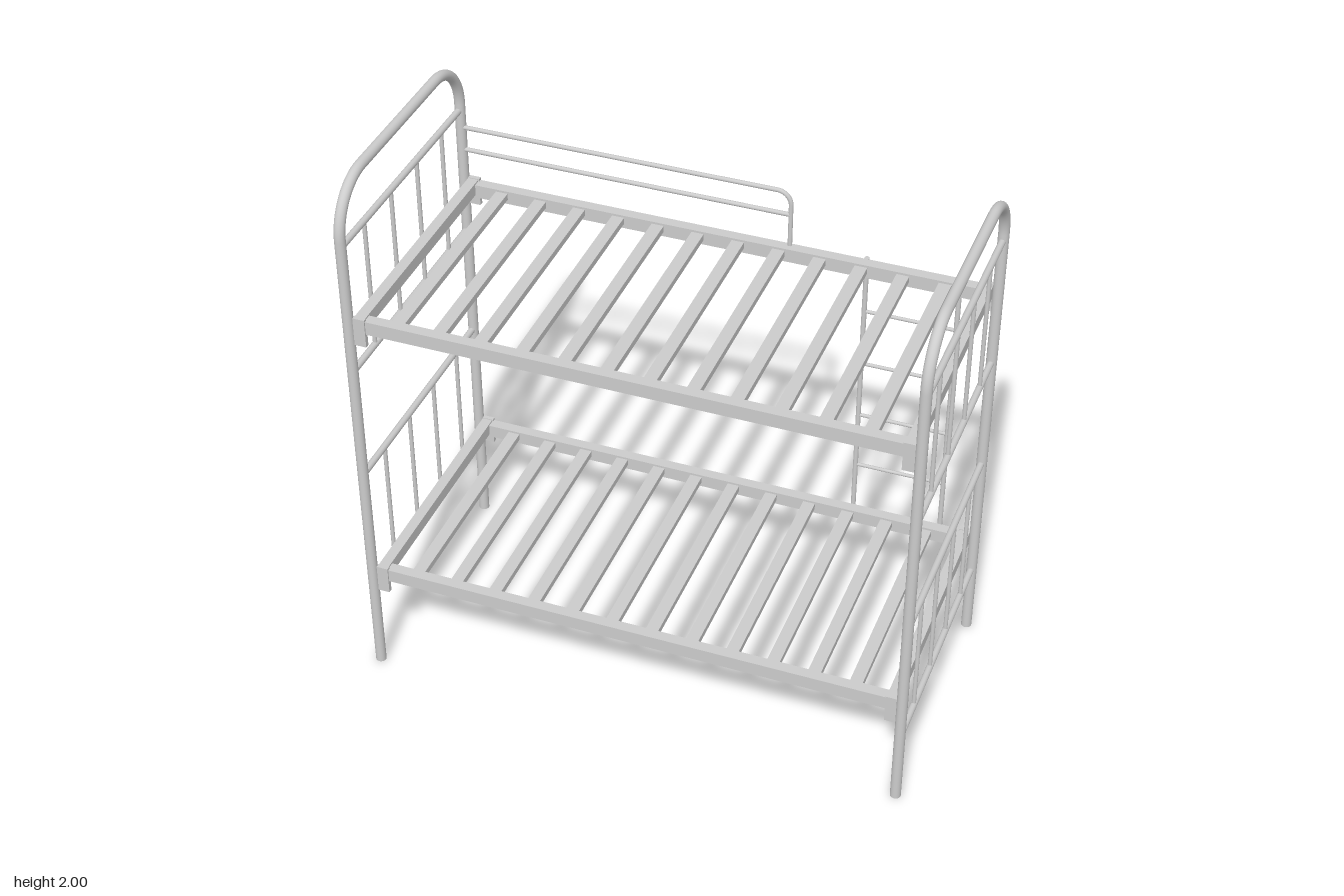
import * as THREE from 'three';

const material = new THREE.MeshStandardMaterial({ color: 0xcccccc });
const UP = new THREE.Vector3(0, 1, 0);

function add(parent, name, geometry) {
  const mesh = new THREE.Mesh(geometry, material);
  mesh.name = name;
  parent.add(mesh);
  return mesh;
}

function group(parent, name) {
  const g = new THREE.Group();
  g.name = name;
  parent.add(g);
  return g;
}

// Round bar between two points
function bar(parent, name, a, b, radius, sides = 12) {
  const from = new THREE.Vector3(...a), to = new THREE.Vector3(...b);
  const dir = to.clone().sub(from);
  const mesh = add(parent, name, new THREE.CylinderGeometry(radius, radius, dir.length(), sides));
  mesh.position.copy(from).add(to).multiplyScalar(0.5);
  mesh.quaternion.setFromUnitVectors(UP, dir.normalize());
}

// Box given by its lowest and highest corners
function box(parent, name, lo, hi) {
  const mesh = add(parent, name, new THREE.BoxGeometry(hi[0] - lo[0], hi[1] - lo[1], hi[2] - lo[2]));
  mesh.position.set((lo[0] + hi[0]) / 2, (lo[1] + hi[1]) / 2, (lo[2] + hi[2]) / 2);
}

// Quarter bend of a tube, turned about y
function bend(parent, name, center, bendRadius, radius, turn, sides) {
  const mesh = add(parent, name, new THREE.TorusGeometry(bendRadius, radius, sides, 16, Math.PI / 2));
  mesh.position.set(...center);
  mesh.rotation.y = turn;
}

const POST_R = 0.0187, FRONT = 0.461, BACK = -0.452;

// Bent tube end frame with two barred panels
function endFrame(parent, name, x, height, drop) {
  const g = group(parent, name);
  const r = 0.18, top = height - POST_R;
  for (const [z, s] of [[FRONT, 1], [BACK, -1]]) {
    bar(g, 'post', [x, 0, z], [x, top - r, z], POST_R, 24);
    bend(g, 'postBend', [x, top - r, z - s * r], r, POST_R, -s * Math.PI / 2, 24);
  }
  bar(g, 'topTube', [x, top, BACK + r], [x, top, FRONT - r], POST_R, 24);
  for (const [low, high] of [[1.285, 1.775], [0.362, 0.85]]) {
    for (const y of [low - drop, high - drop])
      bar(g, 'crossBar', [x, y, BACK], [x, y, FRONT], 0.012);
    for (const z of [0.294, 0.097, -0.1, -0.296])
      bar(g, 'spindle', [x, low - drop, z], [x, high - drop, z], 0.0075);
  }
}

// Bed base with rails, corner brackets and slats; y is the top of the rails
function bedBase(parent, name, y) {
  const g = group(parent, name);
  box(g, 'frontRail', [-0.945, y - 0.05, 0.42], [0.945, y, 0.459]);
  box(g, 'backRail', [-0.945, y - 0.05, -0.457], [0.945, y, -0.418]);
  for (const s of [-1, 1]) {
    const x0 = s < 0 ? -0.946 : 0.908, x1 = x0 + 0.038;
    box(g, 'endRail', [x0, y - 0.04, -0.445], [x1, y + 0.006, 0.448]);
    box(g, 'frontBracket', [x0 - 0.003, y - 0.098, 0.448], [x1 + 0.003, y + 0.008, 0.464]);
    box(g, 'backBracket', [x0 - 0.003, y - 0.098, -0.462], [x1 + 0.003, y + 0.008, -0.446]);
  }
  for (let i = 0; i < 12; i++) {
    const x = -0.807 + i * 0.1452;
    box(g, 'slat', [x - 0.022, y - 0.032, -0.43], [x + 0.022, y - 0.008, 0.43]);
  }
}

export function createModel() {
  const model = new THREE.Group();
  model.name = 'bunkBed';

  endFrame(model, 'tallEndFrame', -0.965, 2, 0);
  endFrame(model, 'shortEndFrame', 0.963, 1.91, 0.09);
  bedBase(model, 'upperBed', 1.499);
  bedBase(model, 'lowerBed', 0.435);

  // Guard rail at the back of the upper bed
  const guard = group(model, 'guardRail');
  const z = -0.447, r = 0.05, endX = 0.24, topY = 1.708;
  bar(guard, 'guardTop', [-0.965, topY, z], [endX - r, topY, z], 0.008);
  bend(guard, 'guardBend', [endX - r, topY - r, z], r, 0.008, 0, 12);
  bar(guard, 'guardPost', [endX, 1.48, z], [endX, topY - r, z], 0.008);
  bar(guard, 'guardMiddle', [-0.965, 1.62, z], [endX, 1.62, z], 0.008);

  // Ladder on the back rails
  const ladder = group(model, 'ladder');
  const lz = -0.471;
  for (const x of [0.505, 0.829])
    bar(ladder, 'ladderSide', [x, 0.37, lz], [x, 1.495, lz], 0.009);
  for (const y of [1.276, 1.055, 0.832, 0.61])
    bar(ladder, 'rung', [0.505, y, lz], [0.829, y, lz], 0.0065);

  return model;
}
